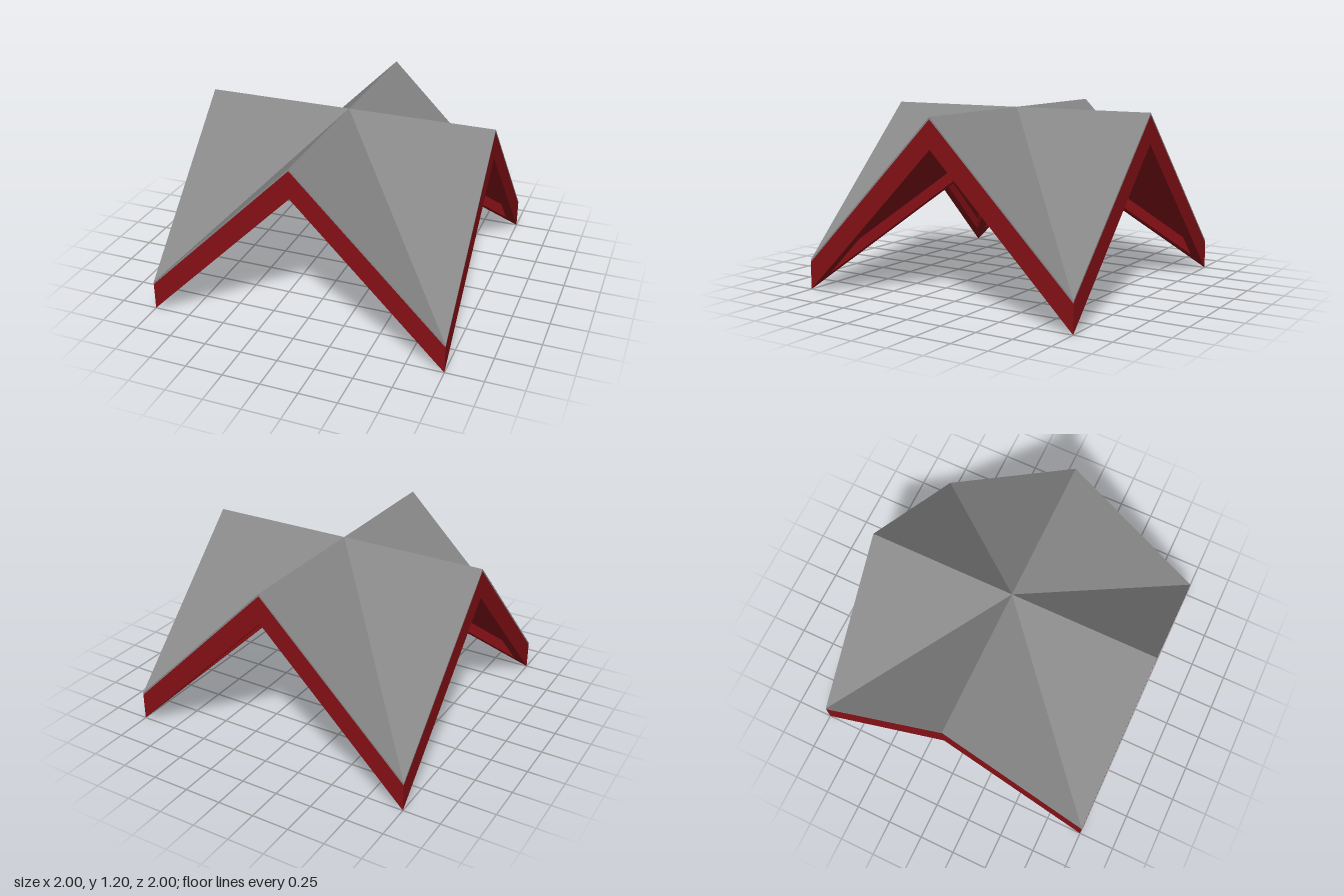
import * as THREE from 'three';

const PEAK = 1.2, COVER = 0.015, DECK = 0.115, DEPTH = 0.2, RIM = 0.065, BEAM = 0.045;

// Height of the crossed-gable roof surface above a plan point.
const roofY = (x, z) => PEAK - Math.min(Math.abs(x), Math.abs(z));

// The eight mirror images of one roof facet.
const octants = [];
for (const sx of [1, -1]) for (const sz of [1, -1]) for (const swap of [false, true]) {
  octants.push(([a, b]) => (swap ? [b * sx, a * sz] : [a * sx, b * sz]));
}

// Slab following the roof over a convex plan outline, between two depths below it.
function roofSlab(outline, top, bottom) {
  const pos = [];
  const tri = (...corners) => corners.forEach((c) => pos.push(...c));
  for (const place of octants) {
    let plan = outline.map(place);
    const area = plan.reduce((s, p, i) => {
      const q = plan[(i + 1) % plan.length];
      return s + p[0] * q[1] - q[0] * p[1];
    }, 0);
    if (area > 0) plan = plan.reverse(); // keeps top faces pointing up
    const up = plan.map(([x, z]) => [x, roofY(x, z) - top, z]);
    const low = plan.map(([x, z]) => [x, roofY(x, z) - bottom, z]);
    for (let i = 1; i < plan.length - 1; i++) {
      tri(up[0], up[i], up[i + 1]);
      tri(low[0], low[i + 1], low[i]);
    }
    for (let i = 0; i < plan.length; i++) {
      const j = (i + 1) % plan.length;
      tri(up[i], low[i], low[j]);
      tri(up[i], low[j], up[j]);
    }
  }
  const geometry = new THREE.BufferGeometry();
  geometry.setAttribute('position', new THREE.Float32BufferAttribute(pos, 3));
  geometry.computeVertexNormals();
  return geometry;
}

export function createModel() {
  const group = new THREE.Group();
  group.name = 'crossGableRoof';
  const slate = new THREE.MeshStandardMaterial({ color: 0x888888, flatShading: true });
  const red = new THREE.MeshStandardMaterial({ color: 0x851016, flatShading: true });
  const add = (name, outline, top, bottom, material) => {
    const mesh = new THREE.Mesh(roofSlab(outline, top, bottom), material);
    mesh.name = name;
    group.add(mesh);
  };

  // Plan outlines of one facet: ridge along the first axis, valley on the diagonal.
  const facet = [[0, 0], [1, 0], [1, 1]];
  const inner = 1 - RIM;

  add('roofCovering', facet, 0, COVER, slate);
  add('roofDeck', facet, COVER, DECK, red);
  // Deep boards along the gable edges
  add('gableBoards', [[inner, 0], [1, 0], [1, 1], [inner, inner]], DECK, DEPTH, red);
  // Beams under the four valleys
  add('valleyBeams', [[0, 0], [BEAM, 0], [inner, inner - BEAM], [inner, inner]], DECK, DEPTH, red);
  return group;
}
